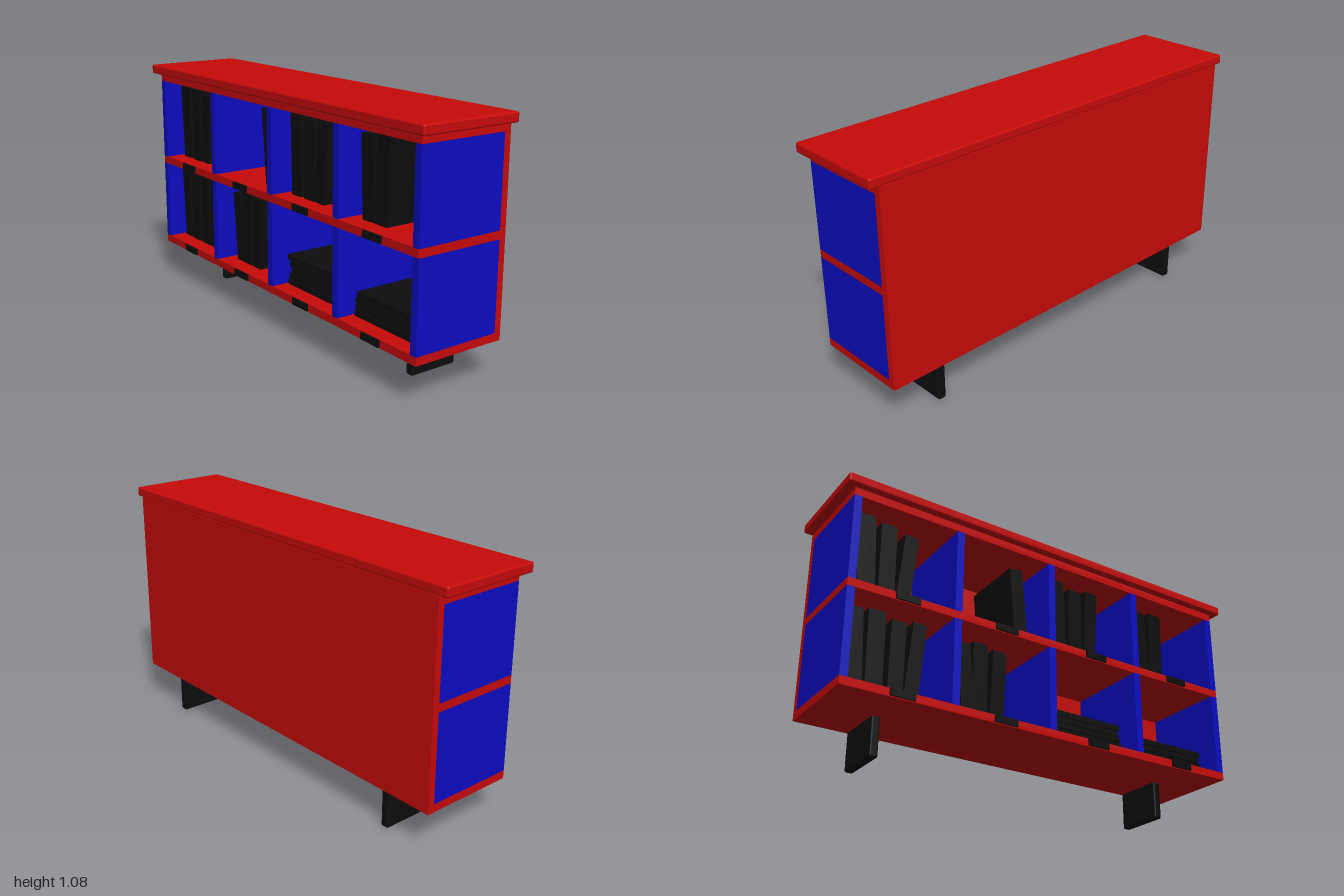
import * as THREE from 'three';
import { RoundedBoxGeometry } from 'three/addons/geometries/RoundedBoxGeometry.js';

const material = (name, color) => {
  const m = new THREE.MeshStandardMaterial({ color });
  m.name = name;
  return m;
};

export function createModel() {
  const red = material('red lacquer', 0xc80a0a);
  const blue = material('blue lacquer', 0x0c0cc4);
  const black = material('black', 0x0d0d0d);
  const model = new THREE.Group();
  model.name = 'bookcase';

  // Box given by its size and centre; a radius rounds its edges
  function box(name, mat, [w, h, d], [x, y, z], radius = 0) {
    const geometry = radius ? new RoundedBoxGeometry(w, h, d, 2, radius) : new THREE.BoxGeometry(w, h, d);
    const mesh = new THREE.Mesh(geometry, mat);
    mesh.name = name;
    mesh.position.set(x, y, z);
    model.add(mesh);
    return mesh;
  }

  // Carcass: overhanging top, back panel, three boards
  box('topSlab', red, [2, 0.042, 0.465], [0, 1.059, 0], 0.008);
  box('backPanel', red, [1.92, 0.863, 0.03], [0, 0.6065, -0.217]);
  const boardY = [0.193, 0.607, 1.02];
  for (const y of boardY) box('shelfBoard', red, [1.92, 0.035, 0.404], [0, y, 0]);

  // Upright panels between the boards
  const floors = [0.2105, 0.6245];
  for (const floor of floors)
    for (const x of [-0.943, -0.468, 0, 0.468, 0.943])
      box('uprightPanel', blue, [0.034, 0.379, 0.404], [x, floor + 0.1895, 0]);

  // Label plates on the front edges of the two lower boards
  for (const y of boardY.slice(0, 2))
    for (const x of [-0.7, -0.235, 0.232, 0.7])
      box('labelPlate', black, [0.108, 0.03, 0.009], [x, y + 0.001, 0.206]);

  // Legs
  for (const side of [-1, 1])
    box('leg', black, [0.037, 0.172, 0.23], [side * 0.715, 0.086, -0.1], 0.008);

  // Standing books: [foot x, width, height, lean]
  const depth = 0.305, bookZ = -0.028;
  const lowerBooks = [
    [-0.866, 0.066, 0.345, 0.05], [-0.787, 0.075, 0.355, 0.01], [-0.697, 0.066, 0.335, -0.01],
    [-0.628, 0.062, 0.35, -0.08], [-0.366, 0.06, 0.325, 0.09], [-0.313, 0.07, 0.343, 0],
    [-0.233, 0.066, 0.33, -0.045],
  ];
  const upperBooks = [
    [-0.848, 0.08, 0.363, 0.05], [-0.76, 0.072, 0.348, 0.01], [-0.687, 0.062, 0.33, -0.09],
    [-0.11, 0.065, 0.345, 0.09], [0.095, 0.07, 0.36, 0.03], [0.182, 0.07, 0.338, 0],
    [0.255, 0.066, 0.355, -0.065], [0.578, 0.07, 0.345, 0.045], [0.652, 0.073, 0.356, -0.03],
  ];
  [lowerBooks, upperBooks].forEach((books, i) => {
    for (const [x, w, h, lean] of books) {
      const book = box('book', black, [w, h, depth], [x - Math.sin(lean) * h / 2, floors[i] + h / 2, bookZ]);
      book.rotation.z = lean;
    }
  });

  // Lying books from the bottom up: [left, right]
  const stacks = [
    [[0.03, 0.41], [0.035, 0.425], [0.05, 0.415], [0.04, 0.405], [0.025, 0.415]],
    [[0.5, 0.88], [0.505, 0.895], [0.505, 0.885], [0.515, 0.895]],
  ];
  for (const stack of stacks)
    stack.forEach(([a, b], i) =>
      box('lyingBook', black, [b - a, 0.024, depth], [(a + b) / 2, floors[0] + 0.012 + i * 0.028, bookZ]));

  return model;
}
